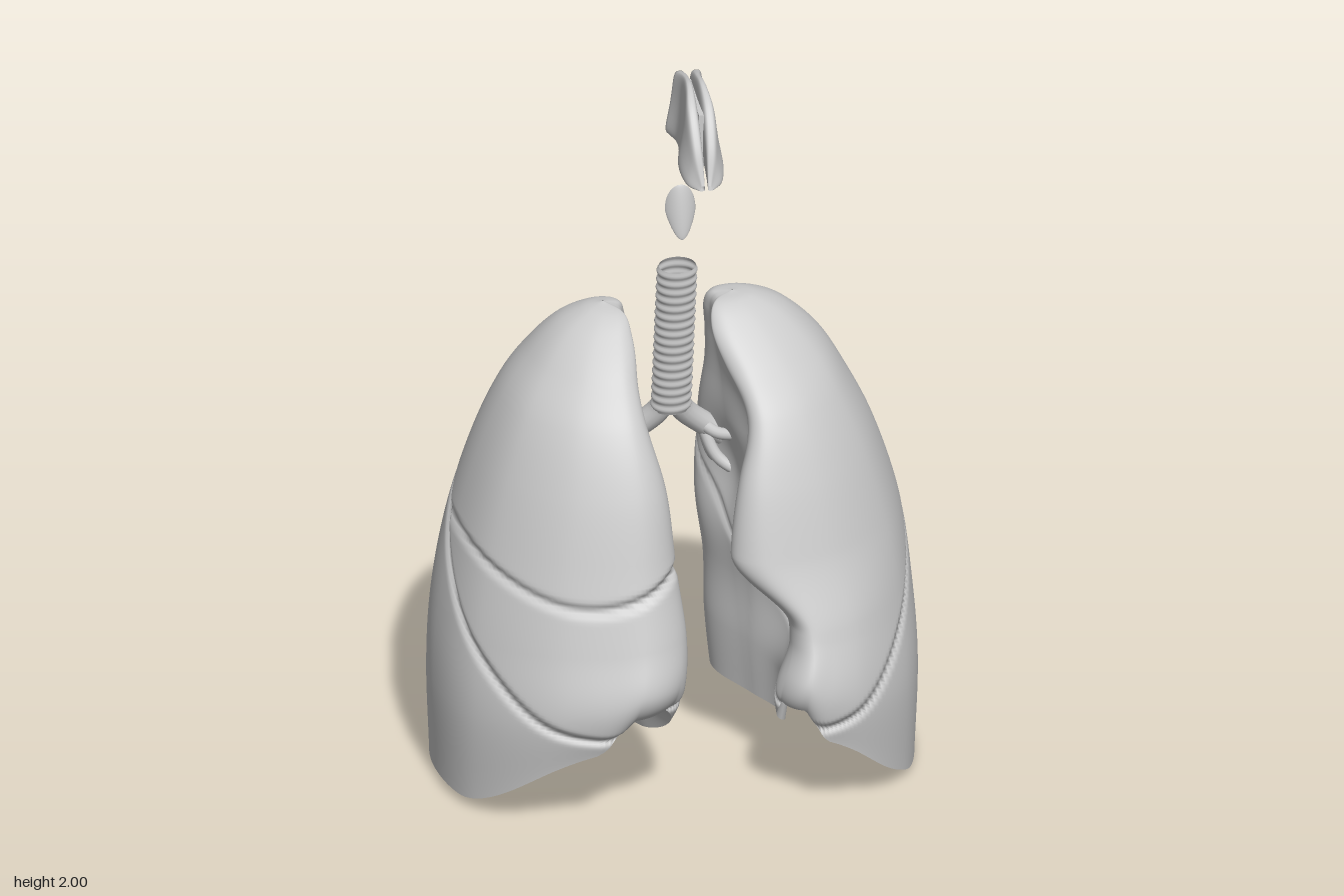
import * as THREE from 'three';
import { ParametricGeometry } from 'three/addons/geometries/ParametricGeometry.js';

const material = new THREE.MeshStandardMaterial({ color: 0xcccccc, side: THREE.DoubleSide });
const smooth = THREE.MathUtils.smoothstep;
const lerp = THREE.MathUtils.lerp;
const bump = (d) => Math.exp(-d * d);
const V = (x, y, z) => new THREE.Vector3(x, y, z);

function part(name, geometry) {
  const mesh = new THREE.Mesh(geometry, material);
  mesh.name = name;
  return mesh;
}

// Parametric surface, mirrored in x when side is -1
function surface(fn, nu, nv, side = 1) {
  return new ParametricGeometry((u, v, target) => {
    fn(side < 0 ? 1 - u : u, v, target);
    target.x *= side;
  }, nu, nv);
}

// Horizontal section of a lung: x 0 = medial to 1 = lateral, z -1 = back to 1 = front
const plan = new THREE.CatmullRomCurve3([
  [0.05, 0], [0.05, 0.42], [0.01, 0.8], [0.18, 0.99], [0.55, 0.9], [0.88, 0.5], [1, 0],
  [0.97, -0.45], [0.82, -0.8], [0.52, -1], [0.19, -0.88], [0.01, -0.45],
].map(([a, b]) => V(a, 0, b)), true);

// Height, inner x, outer x, back z, front z
const leftKeys = [
  [0, .10, .585, -.39, .39], [.25, .09, .595, -.43, .41], [.45, .09, .585, -.44, .365],
  [.65, .065, .56, -.435, .315], [.85, .07, .50, -.39, .255], [1, .09, .43, -.33, .18],
  [1.1, .09, .37, -.27, .09], [1.18, .085, .29, -.21, .01], [1.22, .10, .215, -.155, -.045],
  [1.23, .148, .152, -.102, -.098],
];
const rightKeys = [
  [0, .06, .60, -.39, .38], [.25, .03, .605, -.43, .41], [.45, .02, .59, -.44, .375],
  [.65, .035, .55, -.435, .325], [.85, .045, .49, -.39, .265], [1, .07, .425, -.33, .19],
  [1.1, .09, .355, -.27, .10], [1.17, .11, .29, -.21, .02], [1.21, .125, .225, -.155, -.04],
  [1.225, .168, .172, -.102, -.098],
];

// Heights of the fissures between the lobes
const oblique = (z) => 0.25 + (0.4 - z) * 0.77;
const horizontal = (x) => 0.588 + 1.2 * (Math.abs(x) - 0.28) ** 2;
const groove = (d) => bump(d / 0.014);

function createLung(name, keys, side) {
  const isLeft = side > 0;
  const widths = new THREE.CatmullRomCurve3(keys.map((k) => V(k[1], k[0], k[2])), false, 'catmullrom');
  const depths = new THREE.CatmullRomCurve3(keys.map((k) => V(k[3], k[0], k[4])), false, 'catmullrom');
  const p = V(), w = V(), d = V();

  const wall = (u, v, target) => {
    const t = v * (0.6 + 0.4 * v);
    plan.getPoint(u, p);
    widths.getPoint(t, w);
    depths.getPoint(t, d);
    let x = lerp(w.x, w.z, p.x);
    let z = lerp(d.x, d.z, (p.z + 1) / 2);
    // Lower rim rises towards the front and the middle
    const frontRise = 0.21 * Math.max(0, (p.z - 0.35) / 0.65) ** 2;
    const medialRise = 0.16 * (1 - smooth(p.x, 0.03, 0.38));
    const corner = isLeft ? 0.02 * smooth(p.x, 0.85, 1) : 0;
    const rim = Math.min(0.31, 0.02 + frontRise + medialRise - corner);
    const y = w.y + rim * Math.max(0, 1 - w.y / 0.7) ** 2;
    // Hollow of the medial face, deepest at the root of the lung
    const medial = Math.max(0, 1 - p.x) ** 2;
    const hollow = 0.085 * bump((z - (isLeft ? 0.09 : 0.02)) / 0.13) * (1 - smooth(y, 0.9, 1.2));
    const root = 0.06 * bump((y - 0.75) / 0.14) * bump((z + 0.09) / 0.11);
    x += (hollow + root) * medial;
    // Cardiac notch
    if (isLeft) {
      const depth = 0.09 + 0.04 * smooth(y, 0.3, 0.46);
      x += depth * (1 - smooth(y, 0.5, 0.68)) * smooth(z, 0.02, 0.24) * medial;
    }
    // Fissure grooves
    const above = y - oblique(z);
    let cut = groove(above);
    if (!isLeft && above > 0) cut = Math.max(cut, groove(y - horizontal(x)));
    x = lerp(x, (w.x + w.z) / 2, 0.035 * cut);
    z = lerp(z, (d.x + d.z) / 2, 0.035 * cut);
    target.set(x, y, z);
  };

  // Hollow underside, domed up from the rim
  const centre = V(0.33, 0.3, -0.03);
  const base = (u, v, target) => {
    const s = Math.max(v, 0.003);
    wall(u, 0, target);
    target.set(lerp(centre.x, target.x, s), lerp(centre.y, target.y, s ** 3), lerp(centre.z, target.z, s));
  };

  // Split the wall into lobes along the fissures
  const whole = surface(wall, 170, 150, side);
  const pos = whole.attributes.position;
  const lobes = { upperLobe: [], middleLobe: [], lowerLobe: [] };
  for (let i = 0; i < whole.index.count; i += 3) {
    const tri = [0, 1, 2].map((k) => whole.index.getX(i + k));
    const mean = (get) => tri.reduce((sum, n) => sum + pos[get](n), 0) / 3;
    const y = mean('getY');
    let lobe = 'upperLobe';
    if (y < oblique(mean('getZ'))) lobe = 'lowerLobe';
    else if (!isLeft && y < horizontal(mean('getX'))) lobe = 'middleLobe';
    lobes[lobe].push(...tri);
  }
  const lung = new THREE.Group();
  lung.name = name;
  for (const [lobe, index] of Object.entries(lobes)) {
    if (!index.length) continue;
    const geometry = new THREE.BufferGeometry();
    geometry.setAttribute('position', pos);
    geometry.setAttribute('normal', whole.attributes.normal);
    geometry.setIndex(index);
    lung.add(part(lobe, geometry));
  }
  lung.add(part('diaphragmSurface', surface(base, 170, 14, side)));
  return lung;
}

// Ringed windpipe leaning back, then forking into the bronchi
function createAirway() {
  const airway = new THREE.Group();
  airway.name = 'airway';
  const rings = 17, steps = rings * 6, length = 0.45;
  const profile = [];
  for (let i = 0; i <= steps; i++) {
    const ripple = Math.cos((i / steps) * rings * Math.PI * 2);
    profile.push(new THREE.Vector2(0.0485 - 0.0025 * ripple, (i / steps) * length));
  }
  const trachea = part('trachea', new THREE.LatheGeometry(profile, 32));
  trachea.scale.z = 0.7;
  trachea.position.set(0, 0.915, -0.11);
  trachea.rotation.x = 0.22;
  airway.add(trachea);

  const tube = (name, points, radius) => airway.add(part(name,
    new THREE.TubeGeometry(new THREE.CatmullRomCurve3(points), 20, radius, 14)));
  for (const s of [-1, 1]) {
    tube('bronchus', [V(s * 0.012, 0.95, -0.105), V(s * 0.03, 0.905, -0.12), V(s * 0.09, 0.845, -0.145), V(s * 0.2, 0.77, -0.16)], 0.03);
    for (const [y, z] of [[0.86, -0.05], [0.7, -0.1], [0.66, -0.2]]) {
      tube('bronchusBranch', [V(s * 0.08, 0.85, -0.14), V(s * 0.12, (y + 0.82) / 2, (z - 0.14) / 2), V(s * 0.22, y, z)], 0.015);
    }
  }
  return airway;
}

// Leaf-shaped flap, pointed below and curved back at its edges
function createEpiglottis() {
  const geometry = new THREE.SphereGeometry(1, 24, 20);
  const pos = geometry.attributes.position;
  for (let i = 0; i < pos.count; i++) {
    const y = pos.getY(i);
    const x = pos.getX(i) * 0.038 * (y < 0 ? 1 + 0.35 * y : 1);
    pos.setXYZ(i, x, 1.532 + 0.07 * y, 0.053 - 0.012 * y - 13 * x * x + 0.006 * pos.getZ(i));
  }
  geometry.computeVertexNormals();
  return part('epiglottis', geometry);
}

// Paired nasal cartilages, lofted from back to tip around a thin septum
function createNose() {
  const nose = new THREE.Group();
  nose.name = 'nasalCartilage';
  // x = bottom height, y = ridge height, z = position
  const outline = new THREE.CatmullRomCurve3([
    V(1.8, 1.972, 0.15), V(1.803, 1.99, 0.21), V(1.806, 2, 0.28), V(1.798, 1.97, 0.35),
    V(1.787, 1.89, 0.41), V(1.787, 1.8, 0.443),
  ]);
  const widths = new THREE.CatmullRomCurve3([0.06, 0.042, 0.046, 0.06, 0.048, 0.015].map((x, i) => V(x, i, 0)));
  const o = V(), w = V();
  const power = (c) => Math.sign(c) * Math.abs(c) ** 0.55;
  const half = (u, v, target) => {
    const t = Math.max(0, (v - 0.05) / 0.95);
    const scale = Math.max(0.01, Math.min(v / 0.05, 1));
    outline.getPoint(t, o);
    widths.getPoint(t, w);
    const a = u * Math.PI * 2;
    const up = 0.5 + 0.5 * scale * power(Math.sin(a));
    const out = 0.5 + 0.5 * scale * power(Math.cos(a));
    const waist = 0.55 + 0.45 * (1 - up) ** 2;
    target.set(0.004 + w.x * waist * out, lerp(o.x, o.y, up), o.z);
  };
  for (const s of [-1, 1]) nose.add(part('noseHalf', surface(half, 40, 40, s)));
  const septum = part('septum', new THREE.BoxGeometry(0.012, 0.14, 0.2));
  septum.position.set(0, 1.885, 0.265);
  nose.add(septum);
  return nose;
}

export function createModel() {
  const model = new THREE.Group();
  model.name = 'respiratorySystem';
  model.add(
    createLung('leftLung', leftKeys, 1),
    createLung('rightLung', rightKeys, -1),
    createAirway(),
    createEpiglottis(),
    createNose(),
  );
  return model;
}
